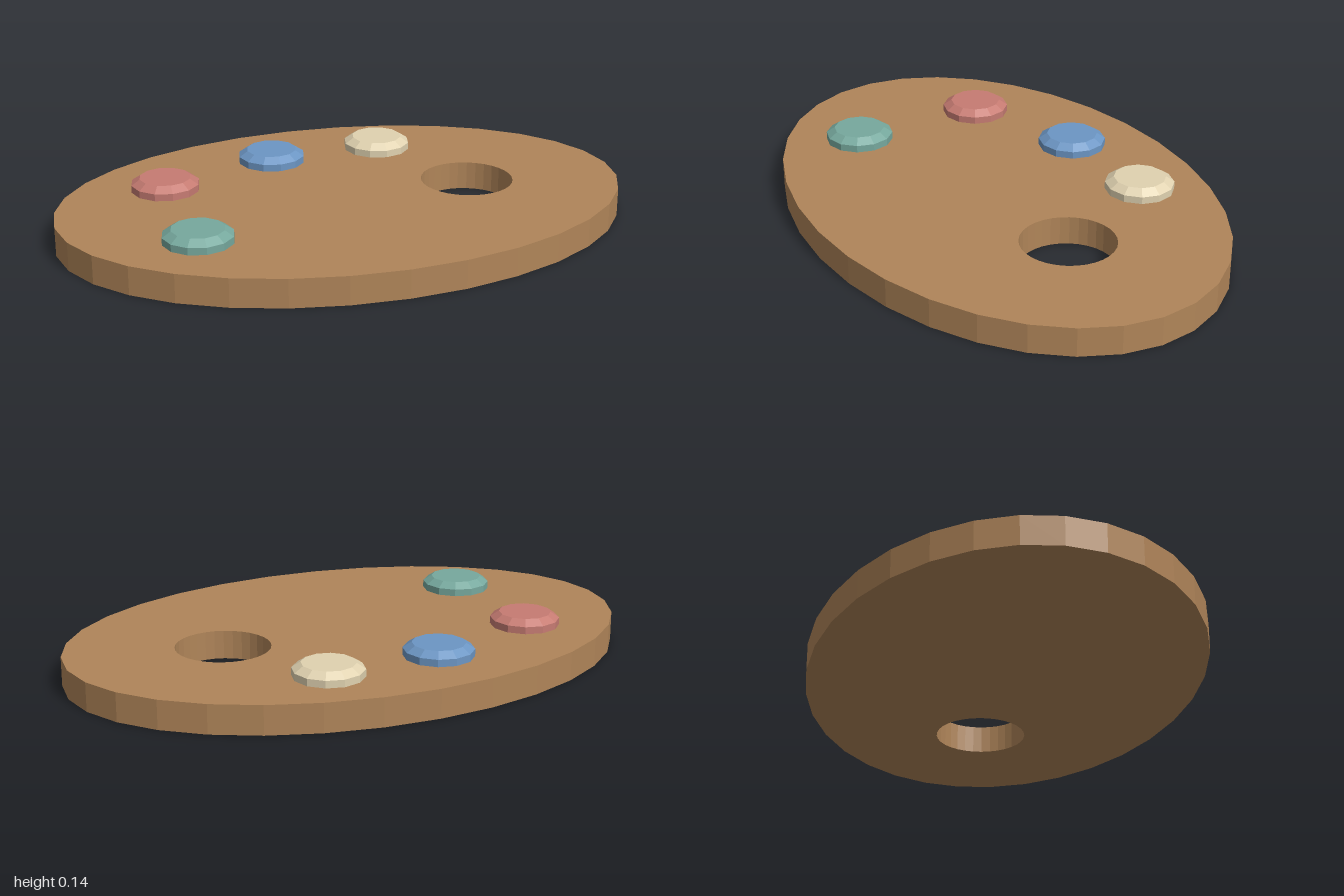
import * as THREE from 'three';

// Closed ring of points on an ellipse
function ellipsePoints(cx, cy, rx, ry, sides) {
  return Array.from({ length: sides }, (_, i) => {
    const a = (i / sides) * Math.PI * 2;
    return new THREE.Vector2(cx + rx * Math.cos(a), cy + ry * Math.sin(a));
  });
}

function material(color) {
  return new THREE.MeshStandardMaterial({ color, flatShading: true });
}

export function createModel() {
  const group = new THREE.Group();
  group.name = 'paintPalette';
  const thickness = 0.1;

  // Oval board with a thumb hole
  const outline = new THREE.Shape(ellipsePoints(0, 0, 1, 0.677, 32));
  outline.holes.push(new THREE.Path(ellipsePoints(0.46, 0, 0.162, 0.162, 32)));
  const boardGeometry = new THREE.ExtrudeGeometry(outline, { depth: thickness, bevelEnabled: false });
  boardGeometry.rotateX(-Math.PI / 2);
  const board = new THREE.Mesh(boardGeometry, material(0xb08559));
  board.name = 'board';
  group.add(board);

  // Paint dabs: low discs with a chamfered top
  const profile = [[0, 0], [0.12, 0], [0.12, 0.025], [0.09, 0.045], [0, 0.045]]
    .map(([r, y]) => new THREE.Vector2(r, y));
  const dabGeometry = new THREE.LatheGeometry(profile, 12);
  const dabs = [
    ['greenPaint', 0x76a89d, -0.575, 0.25],
    ['redPaint', 0xc67b72, -0.575, -0.235],
    ['bluePaint', 0x6c96c4, -0.145, -0.395],
    ['creamPaint', 0xe0d2b0, 0.265, -0.412],
  ];
  for (const [name, color, x, z] of dabs) {
    const dab = new THREE.Mesh(dabGeometry, material(color));
    dab.name = name;
    dab.position.set(x, thickness, z);
    group.add(dab);
  }
  return group;
}
